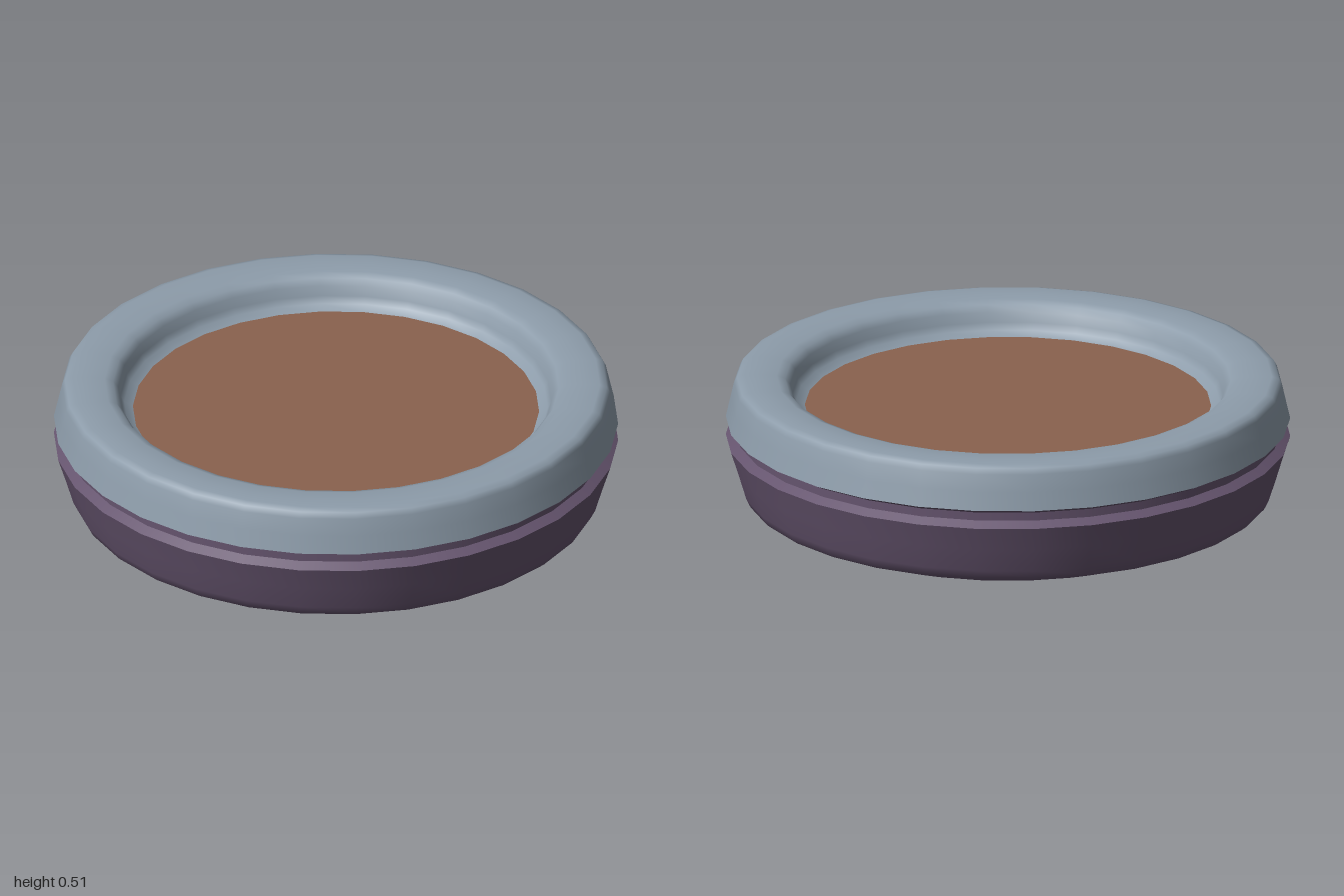
import * as THREE from 'three';

const SIDES = 30;

function material(color) {
  return new THREE.MeshStandardMaterial({ color, side: THREE.DoubleSide });
}

export function createModel() {
  const group = new THREE.Group();
  const purple = material(0x65546e);
  const blueGrey = material(0x8d9caa);
  const brown = material(0x8a624e);

  // Turned band, smooth along its profile; separate bands meet in a crease
  function band(name, profile, mat) {
    const points = profile.map(([r, y]) => new THREE.Vector2(r, y));
    const mesh = new THREE.Mesh(new THREE.LatheGeometry(points, SIDES), mat);
    mesh.name = name;
    group.add(mesh);
  }

  // Hollow lower shell, open underneath
  band('baseBevel', [[0.735, 0], [0.915, 0.068]], purple);
  band('baseWall', [[0.915, 0.068], [0.93, 0.08], [0.945, 0.11], [0.972, 0.2], [1, 0.288]], purple);

  // Narrow groove between the shell and the rim
  band('grooveLower', [[1, 0.288], [0.967, 0.308]], purple);
  band('grooveWall', [[0.967, 0.308], [0.967, 0.338]], purple);
  band('grooveUpper', [[0.967, 0.338], [1, 0.355]], purple);

  // Rounded rim rolling over into the recess
  band('rim', [
    [1, 0.355], [0.985, 0.42], [0.971, 0.482], [0.96, 0.502], [0.935, 0.51],
    [0.88, 0.511], [0.82, 0.508], [0.79, 0.497], [0.772, 0.475],
    [0.763, 0.44], [0.75, 0.415], [0.718, 0.398],
  ], blueGrey);

  // Recessed flat panel
  const panel = new THREE.Mesh(new THREE.CircleGeometry(0.72, SIDES, Math.PI / 2), brown);
  panel.geometry.rotateX(-Math.PI / 2);
  panel.position.y = 0.4;
  panel.name = 'centrePanel';
  group.add(panel);

  return group;
}
